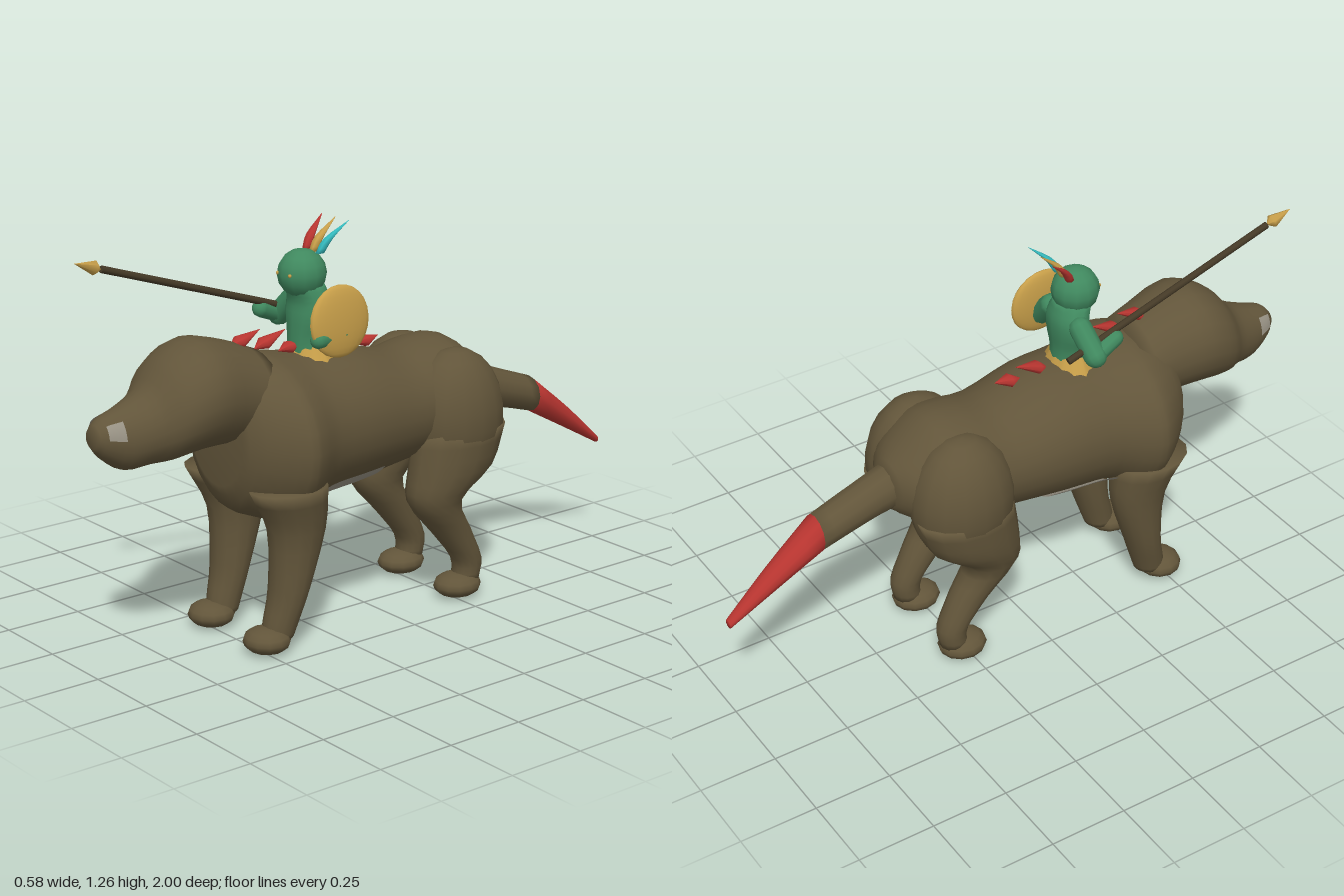
import * as THREE from 'three';

const mat = (name, color, side = THREE.FrontSide) => {
  const m = new THREE.MeshStandardMaterial({ color, side });
  m.name = name;
  return m;
};

// Skin over elliptical cross-sections [x, y, z, radiusX, radiusOther].
// axis 'z': sections stand upright; axis 'y': sections lie flat.
function loft(pts, axis, { seg = 18, sub = 3, t0 = 0, t1 = 1, a0 = 0, a1 = Math.PI * 2, grow = 0 } = {}) {
  const centre = new THREE.CatmullRomCurve3(pts.map(p => new THREE.Vector3(p[0], p[1], p[2])), false, 'catmullrom');
  const radii = new THREE.CatmullRomCurve3(pts.map(p => new THREE.Vector3(p[3], p[4], 0)), false, 'catmullrom');
  const closed = a1 - a0 > 6.28;
  const cols = closed ? seg : seg + 1;
  const n = (pts.length - 1) * sub;
  const rings = [];
  for (let i = 0; i <= n; i++) {
    const t = t0 + (t1 - t0) * i / n;
    const c = centre.getPoint(t), r = radii.getPoint(t);
    rings.push([c, r.x + grow, r.y + grow]);
  }
  if (closed) { // end caps
    rings.unshift([rings[0][0], 0, 0]);
    rings.push([rings[rings.length - 1][0], 0, 0]);
  }
  const pos = [], idx = [];
  for (const [c, rx, ro] of rings) {
    for (let j = 0; j < cols; j++) {
      const a = a0 + (a1 - a0) * j / seg;
      const u = Math.cos(a) * rx, v = Math.sin(a) * ro;
      if (axis === 'z') pos.push(c.x + u, c.y + v, c.z);
      else pos.push(c.x + u, c.y, c.z + v);
    }
  }
  const k = axis === 'z' ? 2 : 1;
  const rising = pts[pts.length - 1][k] > pts[0][k];
  const flip = axis === 'z' ? !rising : rising;
  for (let i = 0; i < rings.length - 1; i++) {
    for (let j = 0; j < seg; j++) {
      const j2 = closed ? (j + 1) % seg : j + 1;
      const a = i * cols + j, b = i * cols + j2, c = a + cols, d = b + cols;
      if (flip) idx.push(a, c, b, b, c, d);
      else idx.push(a, b, c, b, d, c);
    }
  }
  const g = new THREE.BufferGeometry();
  g.setAttribute('position', new THREE.Float32BufferAttribute(pos, 3));
  g.setIndex(idx);
  g.computeVertexNormals();
  return g;
}

export function createModel() {
  const model = new THREE.Group();
  const hide = mat('brownHide', 0x62553a);
  const red = mat('red', 0xb83530);
  const grey = mat('paleGrey', 0x999385, THREE.DoubleSide);
  const green = mat('greenSkin', 0x40895f);
  const gold = mat('gold', 0xc9a04a, THREE.DoubleSide);
  const cyan = mat('cyan', 0x35bcc0);
  const wood = mat('darkWood', 0x453a27);

  const add = (parent, name, geo, material) => {
    const m = new THREE.Mesh(geo, material);
    m.name = name;
    parent.add(m);
    return m;
  };
  const ball = (parent, name, material, p, s, w = 16, h = 11) => {
    const m = add(parent, name, new THREE.SphereGeometry(1, w, h), material);
    m.position.set(...p);
    m.scale.set(...s);
    return m;
  };
  // Point a mesh built along +y from a towards b
  const aim = (m, a, b) => {
    const A = new THREE.Vector3(...a), d = new THREE.Vector3(...b).sub(A);
    m.position.copy(A);
    m.quaternion.setFromUnitVectors(new THREE.Vector3(0, 1, 0), d.normalize());
    return m;
  };
  const dist = (a, b) => Math.hypot(a[0] - b[0], a[1] - b[1], a[2] - b[2]);
  const spindle = (r, mid, len, seg) => new THREE.LatheGeometry(
    [[0, 0], [r, mid], [0, len]].map(p => new THREE.Vector2(...p)), seg);

  // Beast trunk with pale belly
  const beast = new THREE.Group();
  beast.name = 'beast';
  model.add(beast);
  const trunk = [
    [0, .66, .56, .13, .15], [0, .65, .52, .2, .22], [0, .64, .42, .283, .255], [0, .64, .36, .275, .25],
    [0, .65, .27, .235, .225], [0, .655, .1, .225, .213], [0, .645, -.08, .205, .18],
    [0, .66, -.2, .2, .183], [0, .665, -.3, .19, .175], [0, .65, -.4, .14, .115], [0, .645, -.45, .06, .07]];
  add(beast, 'trunk', loft(trunk, 'z', { seg: 24 }), hide);
  add(beast, 'bellyPatch', loft(trunk, 'z',
    { t0: .38, t1: .525, a0: -Math.PI / 2 - .85, a1: -Math.PI / 2 + .85, grow: .007 }), grey);

  // Head with pale marks on the muzzle
  const head = [
    [0, .77, .42, .15, .14], [0, .8, .53, .158, .155], [0, .815, .65, .18, .167], [0, .785, .75, .16, .15],
    [0, .745, .82, .11, .112], [0, .725, .9, .08, .095], [0, .735, .965, .055, .063], [0, .74, .995, .03, .03]];
  add(beast, 'head', loft(head, 'z', { seg: 20 }), hide);
  for (const a of [.1, Math.PI - .8])
    add(beast, 'muzzleMark', loft(head, 'z', { seg: 6, sub: 1, t0: 5.3 / 7, t1: 6.1 / 7, a0: a, a1: a + .7, grow: .004 }), grey);

  // Tail with red end
  add(beast, 'tail', loft([[0, .65, -.36, .08, .085], [0, .642, -.45, .066, .073], [0, .605, -.58, .063, .064],
    [0, .57, -.69, .059, .06]], 'z', { seg: 12 }), hide);
  add(beast, 'tailEnd', loft([[0, .57, -.69, .059, .06], [0, .463, -.85, .039, .039], [0, .355, -1, .017, .013]],
    'z', { seg: 12 }), red);

  // Legs, haunches and paws
  for (const s of [-1, 1]) {
    const leg = (name, pts) =>
      add(beast, name, loft(pts.map(p => [s * p[0], ...p.slice(1)]), 'y', { seg: 14 }), hide);
    leg('frontLeg', [[.165, .52, .42, .1, .13], [.155, .38, .385, .078, .095], [.15, .2, .41, .068, .062],
      [.145, .1, .437, .056, .055], [.142, .05, .45, .05, .05]]);
    ball(beast, 'frontPaw', hide, [s * .143, .046, .49], [.076, .041, .073], 12, 8);
    ball(beast, 'haunch', hide, [s * .13, .61, -.255], [.14, .215, .17]);
    leg('hindLeg', [[.15, .58, -.26, .115, .165], [.15, .45, -.225, .105, .15], [.145, .35, -.165, .08, .092],
      [.14, .24, -.235, .06, .07], [.14, .13, -.303, .05, .05], [.14, .06, -.3, .045, .045]]);
    ball(beast, 'hindPaw', hide, [s * .14, .046, -.268], [.072, .04, .08], 12, 8);
  }

  // Back-swept spines
  const spines = [[.51, .925, .395, .965], [.42, .905, .3, .95], [.33, .885, .24, .9], [.14, .862, .02, .903], [.04, .858, -.055, .872]];
  for (const [z0, y0, z1, y1] of spines) {
    const a = [0, y0, z0], b = [0, y1, z1];
    const m = aim(add(beast, 'spine', spindle(.029, .04, dist(a, b), 8), red), a, b);
    m.scale.z = .65;
  }

  // Rider
  const rider = new THREE.Group();
  rider.name = 'rider';
  model.add(rider);
  add(rider, 'torso', loft([[0, .85, .22, .07, .06], [0, .92, .22, .068, .058], [0, .98, .215, .085, .06],
    [0, 1.03, .213, .083, .058], [0, 1.08, .23, .06, .06]], 'y', { seg: 12 }), green);
  ball(rider, 'riderHead', green, [0, 1.112, .238], [.075, .075, .076], 12, 8);
  for (const s of [-1, 1]) ball(rider, 'eye', gold, [s * .03, 1.117, .306], [.006, .006, .005], 8, 6);

  const limb = (name, a, b, r) => {
    const g = new THREE.CapsuleGeometry(r, dist(a, b), 4, 10).translate(0, dist(a, b) / 2, 0);
    aim(add(rider, name, g, green), a, b);
  };
  for (const s of [-1, 1]) {
    const elbow = [s * .146, .955, .215];
    limb('upperArm', [s * .08, 1.022, .205], elbow, .036);
    limb('forearm', elbow, s < 0 ? [-.132, .985, .295] : [.155, .945, .295], .027);
  }

  // Jagged skirt
  const skirt = new THREE.CylinderGeometry(.06, .1, .09, 24, 1, true);
  const sp = skirt.attributes.position;
  for (let i = 0; i < sp.count; i++)
    if (sp.getY(i) < 0 && i % 2) sp.setY(i, -.028);
  skirt.computeVertexNormals();
  const skirtMesh = add(rider, 'skirt', skirt, gold);
  skirtMesh.position.set(0, .872, .218);
  skirtMesh.scale.z = .75;

  // Crest of three feathers
  for (const [s, m] of [[-1, red], [0, gold], [1, cyan]])
    add(rider, 'feather', loft([[s * .033, 1.172, .195, .012, .014], [s * .043, 1.215, .17, .016, .013],
      [s * .065, 1.266, .11, .001, .001]], 'y', { seg: 6 }), m);

  // Shield
  ball(rider, 'shield', gold, [.158, .992, .22], [.023, .11, .11], 20, 12).rotation.z = .05;

  // Spear
  const butt = [-.126, .955, .13], neck = [-.126, 1.193, .865], point = [-.126, 1.222, .955];
  const len = dist(butt, neck);
  aim(add(rider, 'spearShaft', new THREE.CylinderGeometry(.011, .011, len, 8).translate(0, len / 2, 0), wood), butt, neck);
  aim(add(rider, 'spearHead', spindle(.022, .022, dist(neck, point), 6), gold), neck, point);

  return model;
}
